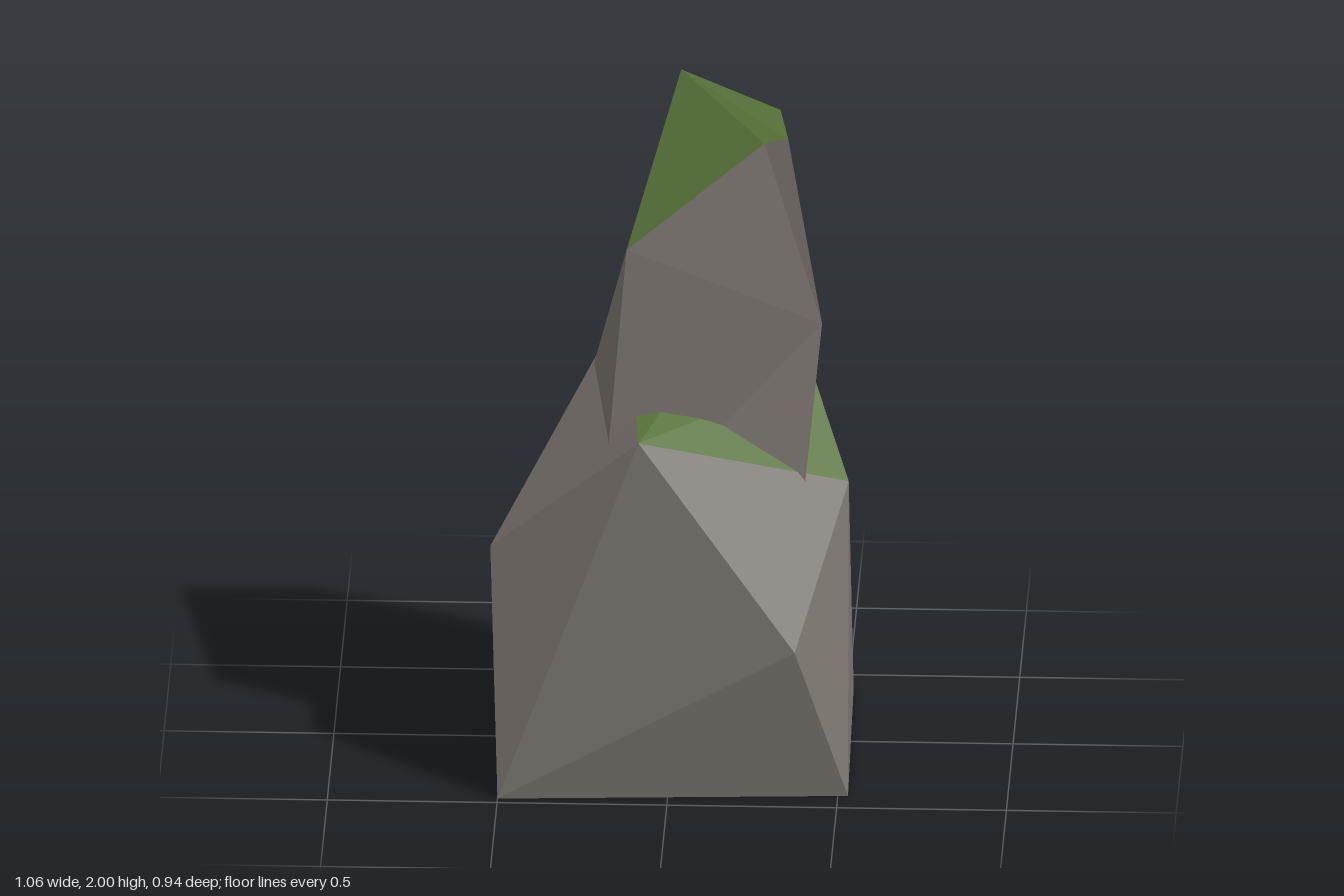
import * as THREE from 'three';

const stone = new THREE.MeshStandardMaterial({ color: 0x7a746e });
stone.name = 'grey stone';
const moss = new THREE.MeshStandardMaterial({ color: 0x557038 });
moss.name = 'green moss';

// Faceted surface from named corners; every triangle is turned away from the rock's middle
function facets(name, corners, triangles, material) {
  const points = {};
  const middle = new THREE.Vector3();
  const keys = Object.keys(corners);
  for (const k of keys) {
    points[k] = new THREE.Vector3(...corners[k]);
    middle.addScaledVector(points[k], 1 / keys.length);
  }
  const positions = [];
  for (const t of triangles) {
    let [a, b, c] = t.split(' ').map((k) => points[k]);
    const normal = b.clone().sub(a).cross(c.clone().sub(a));
    if (normal.dot(a.clone().sub(middle)) < 0) [b, c] = [c, b];
    for (const p of [a, b, c]) positions.push(p.x, p.y, p.z);
  }
  const geometry = new THREE.BufferGeometry();
  geometry.setAttribute('position', new THREE.Float32BufferAttribute(positions, 3));
  geometry.computeVertexNormals();
  const mesh = new THREE.Mesh(geometry, material);
  mesh.name = name;
  return mesh;
}

// A rock is a group of a stone body and a mossy top
function rock(name, corners, body, top) {
  const group = new THREE.Group();
  group.name = name;
  group.add(facets(name + 'Stone', corners, body, stone));
  group.add(facets(name + 'Moss', corners, top, moss));
  return group;
}

export function createModel() {
  const model = new THREE.Group();
  model.name = 'rockPillar';

  // Broad base boulder
  model.add(rock('baseRock', {
    p1: [-0.50, 0, 0.47], p2: [0.53, 0, 0.41], p3: [0.515, 0, -0.40], p4: [-0.435, 0, -0.42],
    shoulder: [-0.53, 0.71, 0.24],
    front: [0.375, 0.475, 0.46],
    brow: [-0.09, 1.085, 0.335],
    side: [0.52, 0.875, 0.10],
    spike: [0.405, 1.10, -0.17],
    back: [0.23, 0.63, -0.475],
    crest: [0.17, 1.25, -0.315],
    peak: [-0.155, 1.25, -0.33],
  }, [
    'p1 p2 p3', 'p1 p3 p4',
    'p1 p2 front', 'p1 front brow', 'p1 brow shoulder',
    'front p2 side', 'front side brow',
    'p2 p3 side', 'p3 spike side',
    'p3 back spike', 'p3 p4 back', 'spike back crest', 'crest back peak', 'p4 peak back',
    'shoulder peak p4', 'shoulder p4 p1', 'shoulder brow peak',
  ], ['brow side spike', 'brow spike crest', 'brow crest peak']));

  // Tall pillar sunk into the boulder
  model.add(rock('pillarRock', {
    frontLeft: [-0.13, 1.65, 0.21],
    ridge: [0.27, 1.935, 0.065],
    frontRight: [0.34, 1.95, 0.06],
    peak: [0.01, 2.0, -0.33],
    backRight: [0.30, 1.85, -0.39],
    bulge: [0.44, 1.36, 0.06],
    hip: [-0.245, 1.10, -0.20],
    footFL: [-0.21, 0.70, 0.235], footFR: [0.373, 0.68, 0.21],
    footBR: [0.36, 0.67, -0.395], footBL: [-0.245, 0.66, -0.39],
  }, [
    'footFL footFR bulge', 'footFL bulge frontLeft', 'frontLeft bulge ridge', 'ridge bulge frontRight',
    'frontRight bulge backRight', 'backRight bulge footBR', 'bulge footFR footBR',
    'peak backRight footBR', 'peak footBR footBL',
    'peak hip frontLeft', 'peak footBL hip', 'hip footFL frontLeft', 'footBL footFL hip',
    'footFL footFR footBR', 'footFL footBR footBL',
  ], ['peak frontLeft ridge', 'peak ridge frontRight', 'peak frontRight backRight']));

  return model;
}
